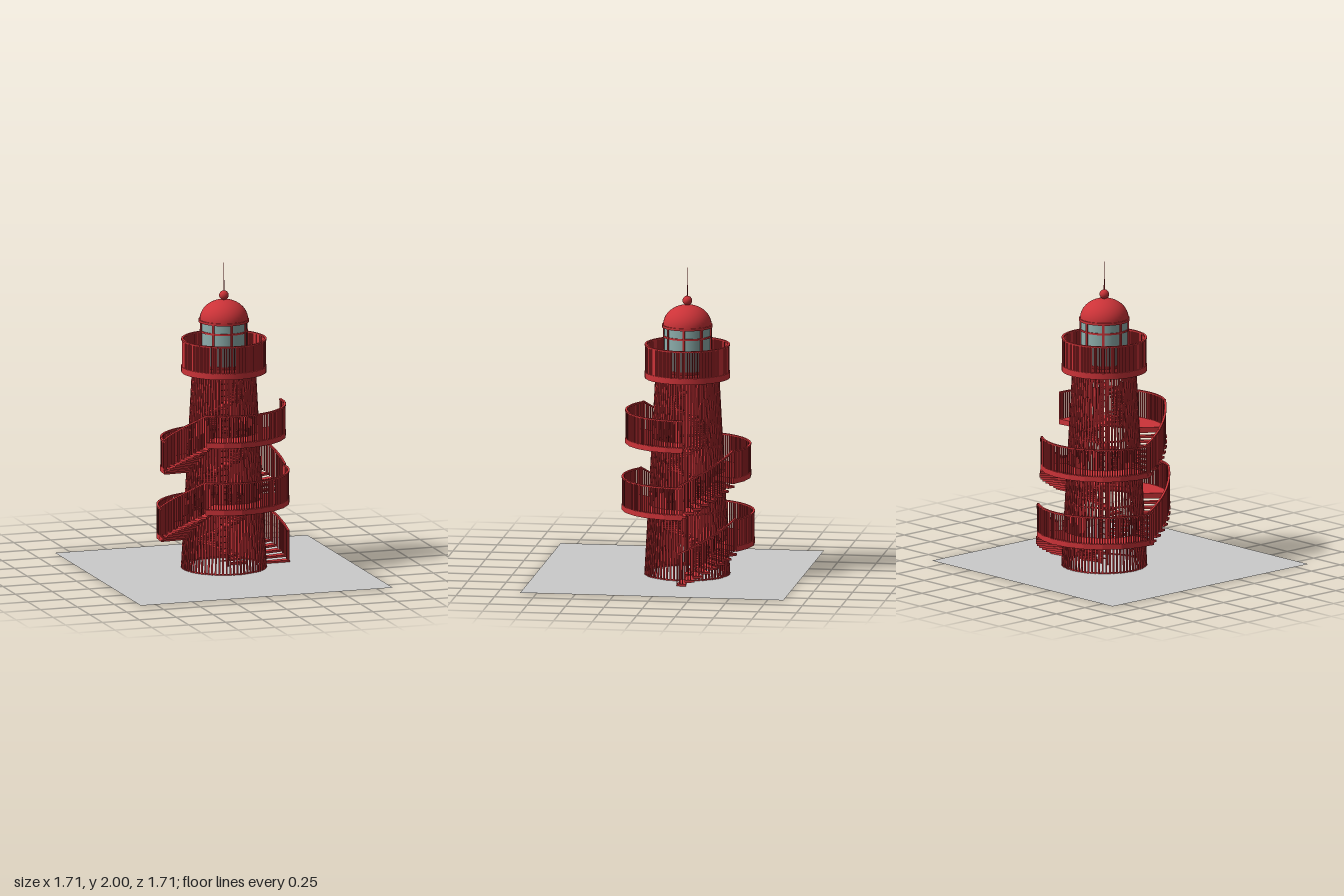
import * as THREE from 'three';
import { mergeGeometries } from 'three/addons/utils/BufferGeometryUtils.js';

const RED = new THREE.MeshStandardMaterial({ color: 0xcc3338 });
const GLASS = new THREE.MeshStandardMaterial({ color: 0x8fb0ae });
const GREY = new THREE.MeshStandardMaterial({ color: 0xcccccc, side: THREE.DoubleSide });
const rad = THREE.MathUtils.degToRad;

// angle in degrees, counter-clockwise seen from above, 0 = +x
const polar = (r, deg, y) => new THREE.Vector3(r * Math.cos(rad(deg)), y, -r * Math.sin(rad(deg)));

// tower radius at a height
const towerR = y => 0.272 - 0.054 * y;

// upright box whose local x points outward; lean tips it towards the axis
function post(r, deg, y0, y1, radial, tangent, lean = 0) {
  const o = new THREE.Object3D();
  o.rotation.order = 'YXZ';
  o.rotation.set(0, rad(deg), lean);
  o.position.copy(polar(r, deg, (y0 + y1) / 2));
  o.updateMatrix();
  return new THREE.BoxGeometry(radial, y1 - y0, tangent).applyMatrix4(o.matrix);
}

// box running from p to q
function bar(p, q, w, h) {
  const o = new THREE.Object3D();
  o.position.copy(p).add(q).multiplyScalar(0.5);
  o.lookAt(q);
  o.updateMatrix();
  return new THREE.BoxGeometry(w, h, p.distanceTo(q)).applyMatrix4(o.matrix);
}

// faceted ring sector slab
function sector(r0, r1, a0, a1, y, h, step = 16) {
  const n = Math.max(1, Math.round((a1 - a0) / step));
  const pts = [];
  for (let i = 0; i <= n; i++) {
    const a = rad(a0 + (a1 - a0) * i / n);
    pts.push(new THREE.Vector2(r1 * Math.cos(a), r1 * Math.sin(a)));
  }
  for (let i = n; i >= 0; i--) {
    const a = rad(a0 + (a1 - a0) * i / n);
    pts.push(new THREE.Vector2(r0 * Math.cos(a), r0 * Math.sin(a)));
  }
  return new THREE.ExtrudeGeometry(new THREE.Shape(pts), { depth: h, bevelEnabled: false })
    .rotateX(-Math.PI / 2).translate(0, y, 0);
}

// balusters and handrail over an arc that may climb
function railing(rFn, a0, a1, yFn, height) {
  const parts = [];
  const n = Math.round((a1 - a0) / 2.3);
  for (let i = 0; i <= n; i++) {
    const a = a0 + (a1 - a0) * i / n;
    parts.push(post(rFn(a), a, yFn(a), yFn(a) + height, 0.007, 0.007));
  }
  const m = Math.round((a1 - a0) / 9);
  const at = i => {
    const a = a0 + (a1 - a0) * i / m;
    return polar(rFn(a), a, yFn(a) + height);
  };
  for (let i = 0; i < m; i++) parts.push(bar(at(i), at(i + 1), 0.014, 0.01));
  return parts;
}

export function createModel() {
  const model = new THREE.Group();
  const tower = new THREE.Group();
  tower.name = 'lighthouse';
  tower.position.set(0.035, 0, -0.105);
  model.add(tower);
  const add = (name, geo, mat = RED, parent = tower) => {
    const list = Array.isArray(geo) ? geo : [geo];
    const mesh = new THREE.Mesh(list.length > 1 ? mergeGeometries(list) : list[0], mat);
    mesh.name = name;
    parent.add(mesh);
    return mesh;
  };

  // ground plate
  add('ground', new THREE.PlaneGeometry(1.71, 1.71).rotateX(-Math.PI / 2).translate(0, 0.002, 0), GREY, model);

  // tapered wall of separate slats, with hoops
  const slats = [];
  const lean = Math.atan(0.054);
  for (let i = 0; i < 72; i++) slats.push(post(towerR(0.645), i * 5, 0, 1.29, 0.008, 0.011, lean));
  add('wallSlats', slats);
  const hoops = [0.005, 0.43, 0.86, 1.28].map(y =>
    new THREE.TorusGeometry(towerR(y) - 0.005, 0.006, 4, 36).rotateX(Math.PI / 2).translate(0, y, 0));
  add('wallHoops', hoops);

  // inner spiral treads and ladder
  const inner = [];
  for (let i = 0; i < 60; i++) inner.push(sector(0.05, 0.165, i * 18, i * 18 + 20, 0.01 + i * 0.02, 0.014, 20));
  add('innerStair', inner);
  const ladder = [-0.03, 0.03].map(x => new THREE.BoxGeometry(0.008, 1.28, 0.008).translate(x, 0.64, 0));
  for (let i = 1; i < 32; i++) ladder.push(new THREE.BoxGeometry(0.06, 0.007, 0.007).translate(0, i * 0.04, 0));
  add('innerLadder', ladder);

  // outer stair: four flights of open treads, each ending in a long landing
  const levels = [0, 0.2, 0.425, 0.64, 0.86];
  const width = 0.175, sweep = 55, steps = 8, slab = 0.035;
  for (let f = 0; f < 4; f++) {
    const group = new THREE.Group();
    group.name = 'stairStage' + (f + 1);
    tower.add(group);
    const start = f * 180;
    const y0 = levels[f] + (f ? 0.015 : 0), y1 = levels[f + 1];
    const yAt = a => y0 + (y1 + 0.01 - y0) * (a - start) / sweep;
    const rOut = a => towerR(yAt(a)) + width - 0.008;
    const treads = [];
    for (let i = 0; i < steps; i++) {
      const y = y0 + (y1 - y0) * i / steps;
      const a = start + i * sweep / steps;
      treads.push(sector(towerR(y), towerR(y) + width, a, a + sweep / steps + 0.8, y, 0.014, 8));
    }
    add('treads', treads, RED, group);
    add('stairRailing', railing(rOut, start, start + sweep, yAt, 0.205), RED, group);

    const r = towerR(y1), end = start + 184;
    add('landing', sector(r - 0.005, r + width, start + sweep, end, y1, slab), RED, group);
    add('landingRailing', railing(() => r + width - 0.008, start + sweep, end, () => y1 + 0.01, 0.2), RED, group);
  }

  // gallery deck with its railing
  add('galleryDeck', new THREE.CylinderGeometry(0.275, 0.275, 0.04, 32).translate(0, 1.305, 0));
  add('galleryRailing', railing(() => 0.267, 0, 360, () => 1.32, 0.178));
  add('lampBase', new THREE.CylinderGeometry(0.035, 0.035, 0.04, 16).translate(0, 1.268, 0), GREY);

  // lantern room: glass drum, mullions, bands
  add('lanternGlass', new THREE.CylinderGeometry(0.15, 0.15, 0.3, 32).translate(0, 1.47, 0), GLASS);
  const frame = [];
  for (let i = 0; i < 8; i++) frame.push(post(0.152, i * 45, 1.32, 1.62, 0.012, 0.014));
  add('mullions', frame);
  const band = (r, y, h) => new THREE.CylinderGeometry(r, r, h, 32).translate(0, y, 0);
  add('lanternBands', [band(0.156, 1.555, 0.012), band(0.156, 1.333, 0.02), band(0.163, 1.622, 0.016)]);

  // dome, ball and spire
  const profile = [];
  for (let i = 0; i <= 14; i++) {
    const t = i / 14 * Math.PI / 2;
    profile.push(new THREE.Vector2(Math.max(0, 0.156 * Math.cos(t)), 1.628 + 0.13 * Math.sin(t)));
  }
  add('dome', new THREE.LatheGeometry(profile, 36));
  add('ball', new THREE.SphereGeometry(0.031, 20, 14).translate(0, 1.785, 0));
  add('spire', [
    new THREE.CylinderGeometry(0.003, 0.004, 0.08, 8).translate(0, 1.845, 0),
    new THREE.CylinderGeometry(0.001, 0.0025, 0.13, 8).translate(0, 1.935, 0)
  ]);
  return model;
}
